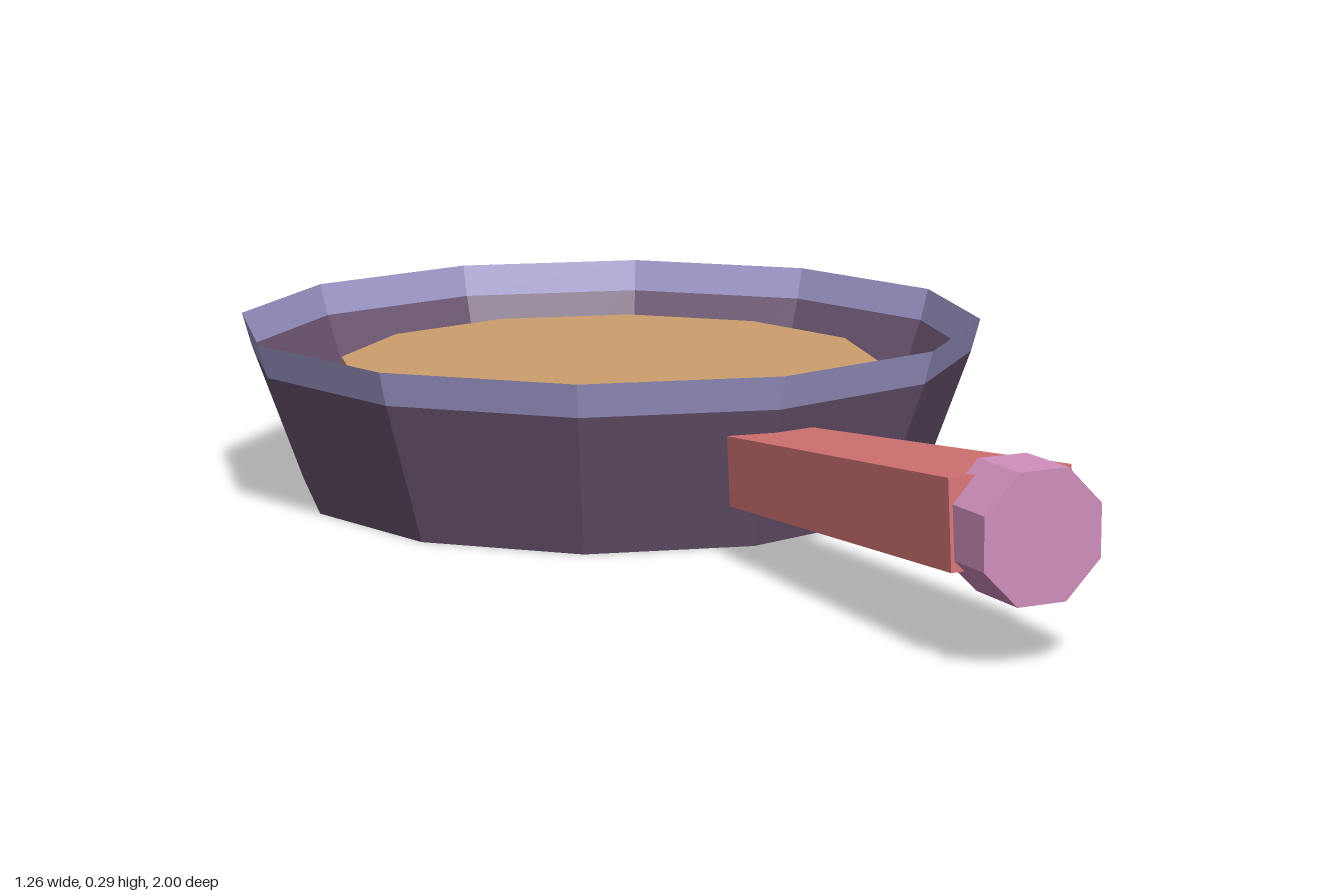
import * as THREE from 'three';

const flat = (name, color, side = THREE.FrontSide) => {
  const m = new THREE.MeshStandardMaterial({ color, flatShading: true, side });
  m.name = name;
  return m;
};

export function createModel() {
  const group = new THREE.Group();
  group.name = 'fryingPan';

  const panPurple = flat('panPurple', 0x6c5672, THREE.DoubleSide);
  const rimLilac = flat('rimLilac', 0x9f99cb, THREE.DoubleSide);
  const foodTan = flat('foodTan', 0xcc9e6c);
  const handleRed = flat('handleRed', 0xd37373);
  const knobPink = flat('knobPink', 0xd08fbd);

  const SIDES = 12, PAN_Z = -0.37;
  const add = (name, geometry, material, x, y, z) => {
    const mesh = new THREE.Mesh(geometry, material);
    mesh.name = name;
    mesh.position.set(x, y, z);
    group.add(mesh);
    return mesh;
  };
  // Thin twelve-sided shell turned from [radius, height] pairs
  const shell = (pts) =>
    new THREE.LatheGeometry(pts.map(([r, y]) => new THREE.Vector2(r, y)), SIDES);

  // Open bowl with its floor, and the lighter band above it
  add('panBody', shell([[0, 0], [0.53, 0], [0.615, 0.235]]), panPurple, 0, 0, PAN_Z);
  add('panRim', shell([[0.615, 0.235], [0.63, 0.29]]), rimLilac, 0, 0, PAN_Z);

  // Filling: a disc standing on the pan floor
  add('filling', new THREE.CylinderGeometry(0.46, 0.46, 0.21, SIDES), foodTan, 0, 0.11, PAN_Z);

  // Handle: a bar that widens and rises towards its free end
  const bar = new THREE.BoxGeometry(2, 2, 0.705);
  const p = bar.attributes.position;
  for (let i = 0; i < p.count; i++) {
    const outer = p.getZ(i) > 0;
    p.setX(i, p.getX(i) * (outer ? 0.1 : 0.076));
    p.setY(i, p.getY(i) * (outer ? 0.066 : 0.055));
  }
  bar.computeVertexNormals();
  const handle = add('handle', bar, handleRed, 0, 0.17, 0.568);
  handle.rotation.x = -0.087;

  // Eight-sided end knob with a flat on top
  const knob = new THREE.CylinderGeometry(0.102, 0.102, 0.108, 8);
  knob.rotateY(Math.PI / 8);
  knob.rotateX(Math.PI / 2);
  add('handleKnob', knob, knobPink, 0, 0.19, 0.946);

  return group;
}
